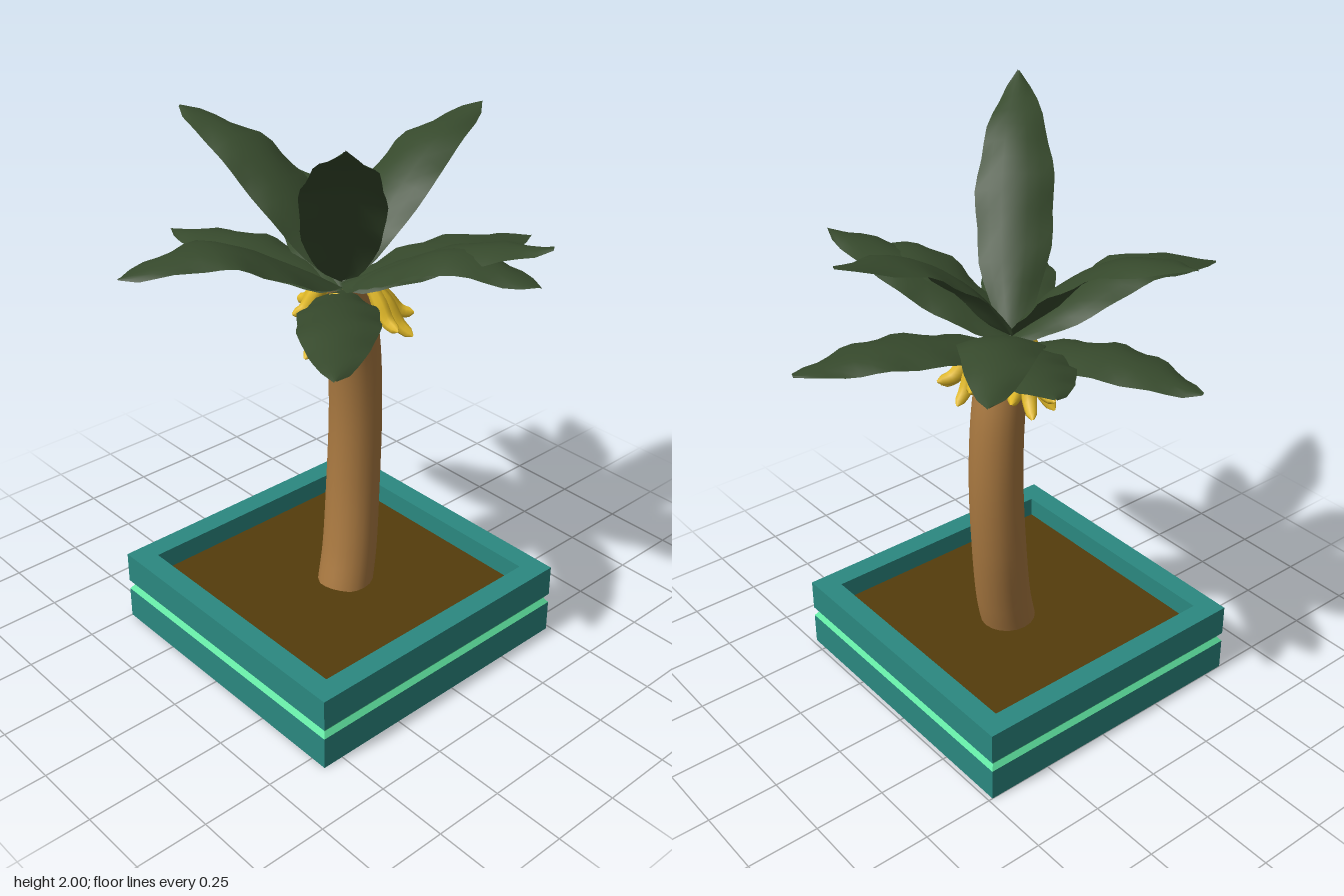
import * as THREE from 'three';

const V = (x, y, z) => new THREE.Vector3(x, y, z);
const mat = (name, color, side = THREE.FrontSide) => {
  const m = new THREE.MeshStandardMaterial({ color, side });
  m.name = name;
  return m;
};

// Tube along a smooth path whose radius follows radiusAt(t)
function taperedTube(points, radiusAt, segments, sides) {
  const curve = new THREE.CatmullRomCurve3(points);
  const geo = new THREE.TubeGeometry(curve, segments, 1, sides);
  const pos = geo.attributes.position, p = V();
  for (let i = 0; i <= segments; i++) {
    const c = curve.getPointAt(i / segments), r = radiusAt(i / segments);
    for (let j = 0; j <= sides; j++) {
      const k = i * (sides + 1) + j;
      p.fromBufferAttribute(pos, k).sub(c).multiplyScalar(r).add(c);
      pos.setXYZ(k, p.x, p.y, p.z);
    }
  }
  return geo;
}

// Arched blade with drooping, slightly wavy edges
function leafGeometry(base, tip, heights, seed) {
  const path = new THREE.CatmullRomCurve3([0, 0.25, 0.58, 1].map((t, i) =>
    V(base.x + (tip[0] - base.x) * t, heights[i], base.z + (tip[1] - base.z) * t)));
  const side = V(tip[1] - base.z, 0, base.x - tip[0]).normalize();
  const rows = 16, cols = 6, pos = [], index = [];
  for (let i = 0; i <= rows; i++) {
    const t = i / rows, c = path.getPointAt(t);
    const normal = path.getTangentAt(t).cross(side).normalize();
    if (normal.y < 0) normal.negate();
    const half = 0.004 + 0.125 * Math.pow(Math.max(0, Math.sin(Math.PI * Math.pow(t, 0.9))), 0.7) * (t < 1 ? 1 : 0);
    for (let j = 0; j <= cols; j++) {
      const u = j / cols * 2 - 1;
      const wave = 0.006 * u * u * Math.sin(t * 24 + seed * 2 + u);
      const p = c.clone().addScaledVector(side, u * half * (1 + wave * 6))
        .addScaledVector(normal, -0.24 * half * u * u + wave);
      pos.push(p.x, p.y, p.z);
      if (i < rows && j < cols) {
        const a = i * (cols + 1) + j, b = a + cols + 1;
        index.push(a, a + 1, b, b, a + 1, b + 1);
      }
    }
  }
  const geo = new THREE.BufferGeometry();
  geo.setAttribute('position', new THREE.Float32BufferAttribute(pos, 3));
  geo.setIndex(index);
  geo.computeVertexNormals();
  return geo;
}

// Open four-sided sloping band with flat faces
function slopedBand(topWidth, bottomWidth, height) {
  const geo = new THREE.CylinderGeometry(topWidth / Math.SQRT2, bottomWidth / Math.SQRT2, height, 4, 1, true)
    .rotateY(Math.PI / 4).toNonIndexed();
  geo.computeVertexNormals();
  return geo;
}

export function createModel() {
  const root = new THREE.Group();
  root.name = 'pottedBananaTree';
  const teal = mat('planterTeal', 0x2b8880);
  const mint = mat('stripeMint', 0x60e6a2);
  const soilBrown = mat('soilBrown', 0x543c0c);
  const bark = mat('barkBrown', 0xa87840);
  const green = mat('leafGreen', 0x36492c, THREE.DoubleSide);
  const yellow = mat('bananaYellow', 0xe2ba28);
  const add = (name, geo, material, parent = root) => {
    const mesh = new THREE.Mesh(geo, material);
    mesh.name = name;
    parent.add(mesh);
    return mesh;
  };

  // Square planter: base slab, V-shaped stripe groove, open rim and soil
  const planter = new THREE.Group();
  planter.name = 'planter';
  planter.position.set(0.03, 0, 0.045);
  root.add(planter);
  const W = 1.06, inner = 0.905, groove = W - 0.026;
  add('planterBase', new THREE.BoxGeometry(W, 0.117, W), teal, planter).position.y = 0.0585;
  add('stripeLower', slopedBand(groove, W, 0.018), mint, planter).position.y = 0.126;
  add('stripeUpper', slopedBand(W, groove, 0.018), mint, planter).position.y = 0.144;
  const square = (Type, s) => new Type([[-1, -1], [1, -1], [1, 1], [-1, 1]]
    .map(([x, y]) => new THREE.Vector2(x * s / 2, y * s / 2)));
  const rim = square(THREE.Shape, W);
  rim.holes.push(square(THREE.Path, inner));
  const rimGeo = new THREE.ExtrudeGeometry(rim, { depth: 0.113, bevelEnabled: false }).rotateX(-Math.PI / 2);
  add('planterRim', rimGeo, teal, planter).position.y = 0.153;
  add('soil', new THREE.BoxGeometry(inner, 0.04, inner), soilBrown, planter).position.y = 0.172;

  // Curved trunk with a domed top
  const trunkPath = [V(0.04, 0.17, 0.02), V(0.025, 0.3, -0.015), V(-0.002, 0.55, -0.056),
    V(-0.01, 0.82, -0.073), V(-0.004, 1.05, -0.06), V(0.008, 1.2, -0.03), V(0.015, 1.31, -0.005)];
  add('trunk', taperedTube(trunkPath, t => t >= 1 ? 0.001 : t > 0.96 ? 0.07 : 0.098 - 0.01 * t, 32, 20), bark);

  // Leaves: tip x, tip z, then heights along the midrib
  const low = [1.3, 1.35, 1.385, 1.35];
  const arch = [1.31, 1.42, 1.525, 1.475];
  const high = [1.33, 1.55, 1.715, 1.775];
  const base = V(0.01, 0, 0.01);
  [
    [0.53, 0.5, low], [-0.68, 0.18, low], [0.19, -0.7, low],
    [-0.21, 0.71, arch], [-0.52, -0.5, arch], [0.68, -0.18, arch],
    [-0.59, -0.32, [1.31, 1.37, 1.425, 1.472]], [0.65, -0.26, [1.32, 1.42, 1.52, 1.57]],
    [-0.04, -0.67, high], [-0.69, 0.11, high], [0.515, 0.455, [1.33, 1.55, 1.83, 2]],
  ].forEach(([x, z, heights], i) => add('leaf' + (i + 1), leafGeometry(base, [x, z], heights, i), green));

  // Three banana bunches under the lowest leaves: fan angle, reach, tip height
  const bananaRadius = t => t <= 0 || t >= 1 ? 0.004 : 0.008 + 0.02 * Math.pow(Math.sin(Math.PI * Math.min(1, 0.1 + t * 0.85)), 0.7);
  [58, 180, -62].forEach((deg, b) => {
    const bunch = new THREE.Group();
    bunch.name = 'bananaBunch' + (b + 1);
    bunch.position.set(0.012, 0, -0.002);
    bunch.rotation.y = -deg * Math.PI / 180;
    root.add(bunch);
    [[-1, 0.12, 1.19], [-0.45, 0.11, 1.12], [0, 0.155, 1.19], [0.5, 0.15, 1.14], [1, 0.13, 1.18]].forEach(([a, reach, y], i) => {
      const at = (r, h) => V(0.08 + Math.cos(a) * r, h, Math.sin(a) * r);
      const points = [at(0, 1.32), at(reach * 0.35, 1.26), at(reach * 0.66, (y + 1.26) / 2 - 0.02), at(reach, y)];
      add('banana' + (i + 1), taperedTube(points, bananaRadius, 12, 8), yellow, bunch);
    });
  });
  return root;
}
